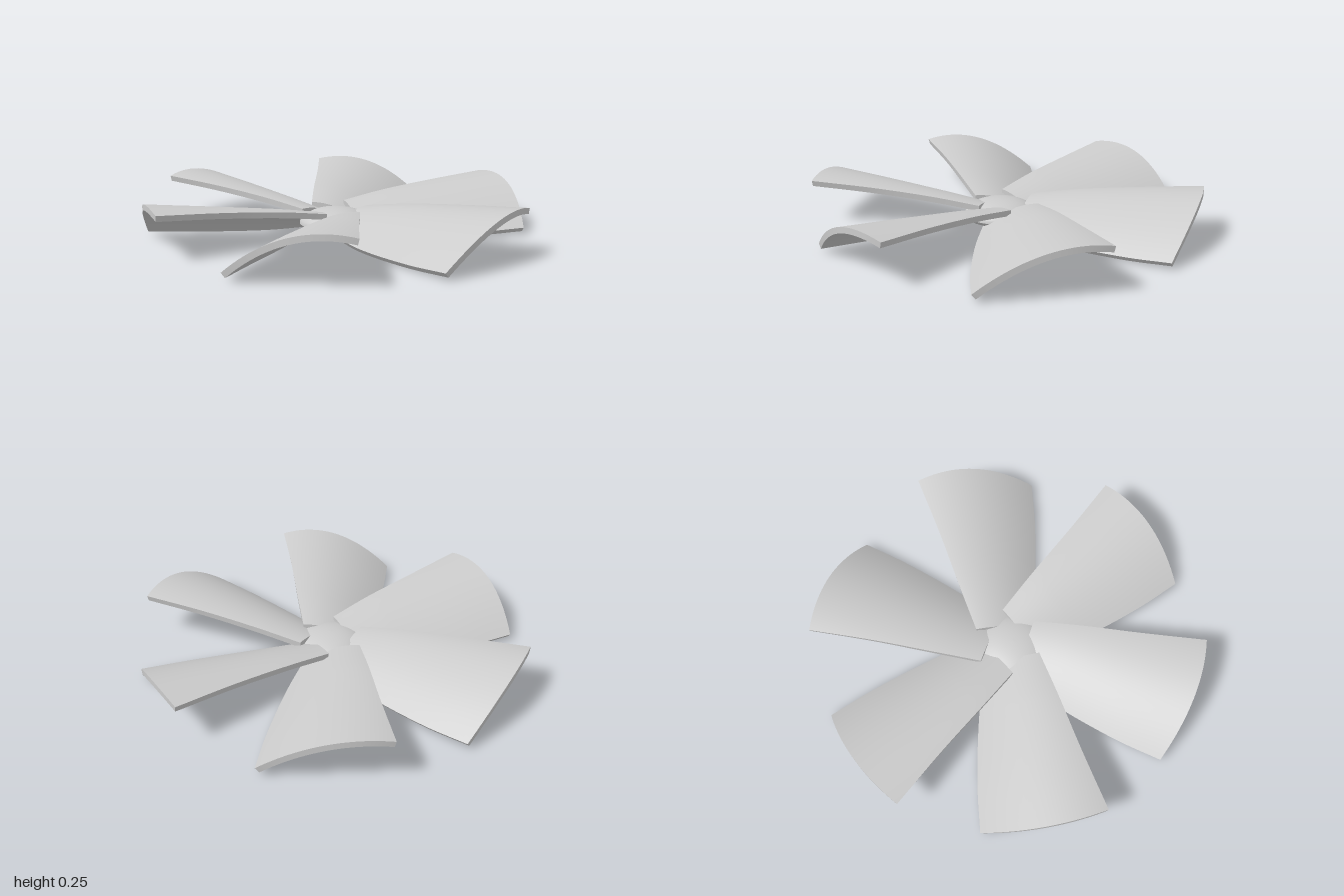
import * as THREE from 'three';
import { ParametricGeometry } from 'three/addons/geometries/ParametricGeometry.js';
import { mergeGeometries } from 'three/addons/utils/BufferGeometryUtils.js';

const V = (x, y, z) => new THREE.Vector3(x, y, z);

// Low and high edges of one blade, from root to tip
const lowEdge = new THREE.CatmullRomCurve3([
  V(-0.12, 0.04, 0.1), V(-0.18, 0.018, 0.33), V(-0.235, 0.019, 0.7), V(-0.25, 0.03, 0.945)]);
const highEdge = new THREE.CatmullRomCurve3([
  V(0.153, 0.135, 0.085), V(0.21, 0.17, 0.32), V(0.28, 0.2, 0.63), V(0.36, 0.222, 0.945)]);
const HALF_THICKNESS = 0.015;

// Point inside the blade: c across the chord, s along the span, w from -1 (under) to 1 (top)
function bladePoint(c, s, w, out) {
  const a = lowEdge.getPoint(s), b = highEdge.getPoint(s);
  const camber = THREE.MathUtils.lerp(0.025, 0.085, s);
  const arch = 4 * c * (1 - c);
  out.lerpVectors(a, b, c);
  out.y += camber * arch;
  out.z += 0.04 * arch * s * s;
  // offset along the normal of the cross-section
  const slope = (b.y - a.y + camber * 4 * (1 - 2 * c)) / (b.x - a.x);
  const k = w * HALF_THICKNESS / Math.hypot(1, slope);
  out.x -= slope * k;
  out.y += k;
}

function createBladeGeometry() {
  const face = (fn, m, n) => new ParametricGeometry((u, v, out) => bladePoint(...fn(u, v), out), m, n);
  const N = 20;
  return mergeGeometries([
    face((u, v) => [v, u, 1], N, N),             // top
    face((u, v) => [u, v, -1], N, N),            // underside
    face((u, v) => [0, u, 2 * v - 1], N, 1),     // low edge
    face((u, v) => [1, v, 2 * u - 1], 1, N),     // high edge
    face((u, v) => [u, 1, 2 * v - 1], N, 1),     // tip
    face((u, v) => [v, 0, 2 * u - 1], 1, N),     // root
  ]);
}

export function createModel() {
  const model = new THREE.Group();
  model.name = 'fanRotor';
  const material = new THREE.MeshStandardMaterial({ color: 0xcccccc });

  // Six identical blades around the axis
  const bladeGeometry = createBladeGeometry();
  for (let i = 0; i < 6; i++) {
    const blade = new THREE.Mesh(bladeGeometry, material);
    blade.name = `blade${i + 1}`;
    blade.rotation.y = i * Math.PI / 3;
    model.add(blade);
  }

  // Hub: domed cap over a shallow tapered base, slightly off the axis
  const hub = new THREE.Group();
  hub.name = 'hub';
  hub.position.set(-0.02, 0, 0.022);
  const dome = [];
  for (let i = 0; i <= 12; i++) {
    const a = i / 12 * Math.PI / 2;
    dome.push(new THREE.Vector2(i === 12 ? 0 : 0.186 * Math.cos(a), 0.075 + 0.078 * Math.sin(a)));
  }
  const base = [[0, 0.035], [0.09, 0.036], [0.14, 0.043], [0.172, 0.057], [0.186, 0.075]]
    .map(([x, y]) => new THREE.Vector2(x, y));
  for (const [name, profile] of [['hubCap', dome], ['hubBase', base]]) {
    const mesh = new THREE.Mesh(new THREE.LatheGeometry(profile, 48), material);
    mesh.name = name;
    hub.add(mesh);
  }
  model.add(hub);

  return model;
}
